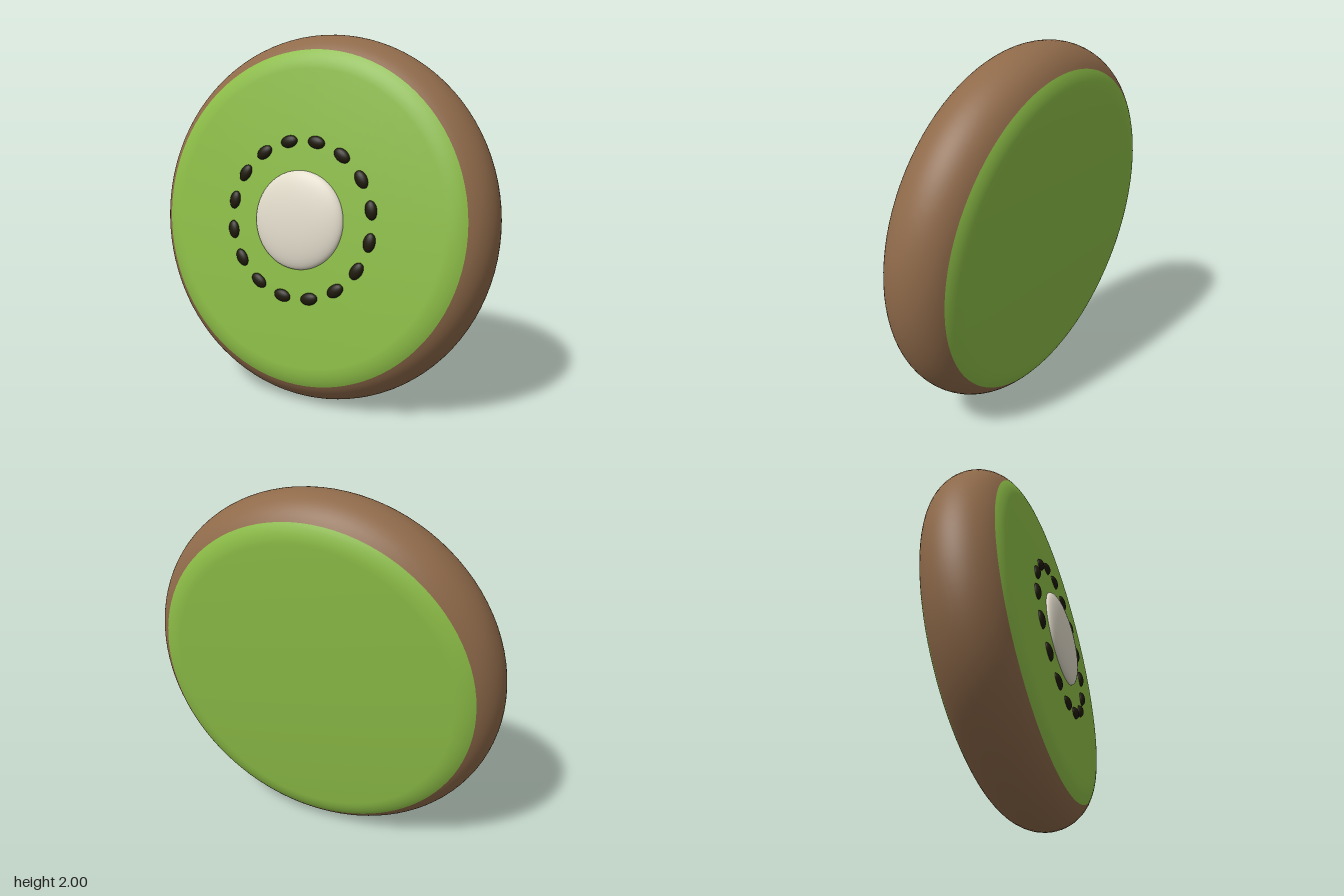
import * as THREE from 'three';

const RING = 0.785;  // radius of the rim's tube centre
const TUBE = 0.22;   // rim roundness
const SKIN_ANGLE = THREE.MathUtils.degToRad(58.5); // where skin meets flesh
const FACE_ANGLE = THREE.MathUtils.degToRad(87);   // where rim meets the cut face

const rimPoint = (a) => new THREE.Vector2(RING + TUBE * Math.cos(a), TUBE * Math.sin(a));

export function createModel() {
  const skinMat = new THREE.MeshStandardMaterial({ color: 0x8f6a4a });
  skinMat.name = 'brown skin';
  const fleshMat = new THREE.MeshStandardMaterial({ color: 0x8dbe47 });
  fleshMat.name = 'green flesh';
  const coreMat = new THREE.MeshStandardMaterial({ color: 0xe2dccb });
  coreMat.name = 'cream core';
  const seedMat = new THREE.MeshStandardMaterial({ color: 0x1f1a0c });
  seedMat.name = 'dark seed';

  const model = new THREE.Group();
  model.name = 'kiwiSlice';

  // The slice is built facing +z, then leaned back and turned a little
  const slice = new THREE.Group();
  slice.name = 'slice';
  slice.position.y = 1;
  slice.quaternion.setFromUnitVectors(
    new THREE.Vector3(0, 0, 1), new THREE.Vector3(-0.135, 0.12, 1).normalize());
  model.add(slice);

  const add = (name, geometry, material) => {
    const mesh = new THREE.Mesh(geometry, material);
    mesh.name = name;
    slice.add(mesh);
    return mesh;
  };

  // Skin: the outer band of the rounded rim
  const band = [];
  for (let i = 0; i <= 24; i++) band.push(rimPoint(SKIN_ANGLE * (i / 12 - 1)));
  add('skin', new THREE.LatheGeometry(band, 96).rotateX(Math.PI / 2), skinMat);

  // Flesh: rounded edge running into a gently domed face
  const edge = rimPoint(FACE_ANGLE);
  const rise = edge.x / Math.tan(FACE_ANGLE) / 2;
  const faceHeight = (r) => edge.y + rise * (1 - (r / edge.x) ** 2);
  const face = [];
  for (let i = 0; i <= 8; i++) {
    face.push(rimPoint(THREE.MathUtils.lerp(SKIN_ANGLE, FACE_ANGLE, i / 8)));
  }
  for (let i = 9; i >= 0; i--) {
    const r = edge.x * i / 10;
    face.push(new THREE.Vector2(r, faceHeight(r)));
  }
  const fleshGeo = new THREE.LatheGeometry(face, 96).rotateX(Math.PI / 2);
  add('frontFlesh', fleshGeo, fleshMat);
  add('backFlesh', fleshGeo, fleshMat).rotation.y = Math.PI;

  // Core: flattened dome in the middle of the front
  const core = add('core', new THREE.SphereGeometry(1, 48, 32), coreMat);
  core.scale.set(0.263, 0.263, 0.06);
  core.position.z = faceHeight(0);

  // Seeds: a ring of small ovals lying along the circle
  const seedGeo = new THREE.SphereGeometry(1, 20, 14);
  const seedRing = 0.42;
  for (let i = 0; i < 16; i++) {
    const a = (i + 0.5) * Math.PI / 8;
    const seed = add('seed' + (i + 1), seedGeo, seedMat);
    seed.scale.set(0.033, 0.05, 0.022);
    seed.position.set(seedRing * Math.cos(a), seedRing * Math.sin(a), faceHeight(seedRing));
    seed.rotation.z = a;
  }

  return model;
}
